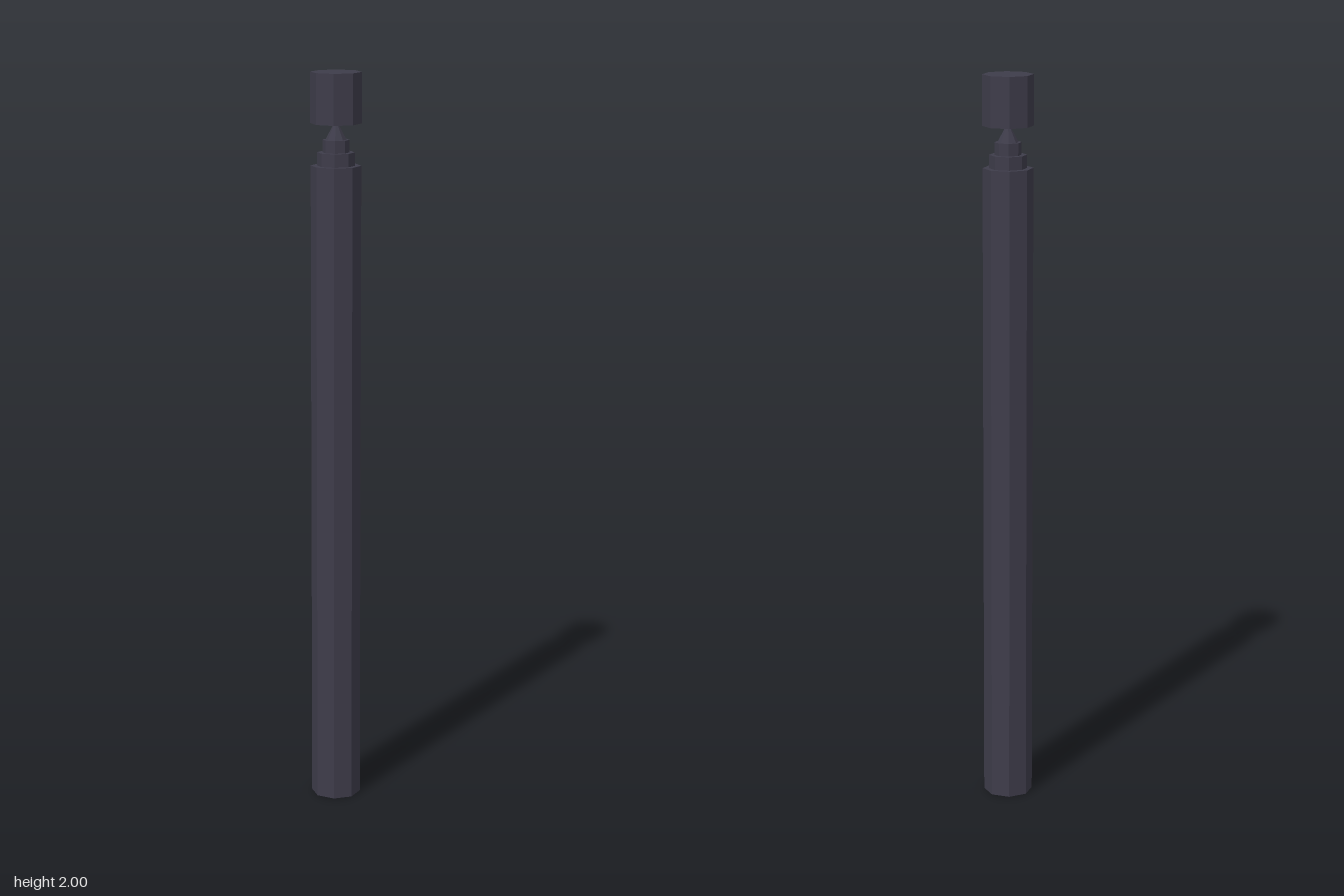
import * as THREE from 'three';

export function createModel() {
  const group = new THREE.Group();
  const charcoal = new THREE.MeshStandardMaterial({ color: 0x3e3c4a, flatShading: true });
  charcoal.name = 'charcoal';

  // Eight-sided section between two heights, with corners on the axes
  const section = (name, bottomRadius, topRadius, y0, y1) => {
    const geometry = new THREE.CylinderGeometry(topRadius, bottomRadius, y1 - y0, 8);
    const mesh = new THREE.Mesh(geometry, charcoal);
    mesh.name = name;
    mesh.position.y = (y0 + y1) / 2;
    group.add(mesh);
  };

  // Long shaft
  section('shaft', 0.067, 0.067, 0, 1.755);

  // Stepped neck narrowing to a point
  section('lowerStep', 0.05, 0.05, 1.755, 1.79);
  section('upperStep', 0.036, 0.036, 1.79, 1.823);
  section('neckCone', 0.028, 0.004, 1.823, 1.868);

  // Cap balanced on the point
  section('cap', 0.068, 0.068, 1.866, 2);

  return group;
}
